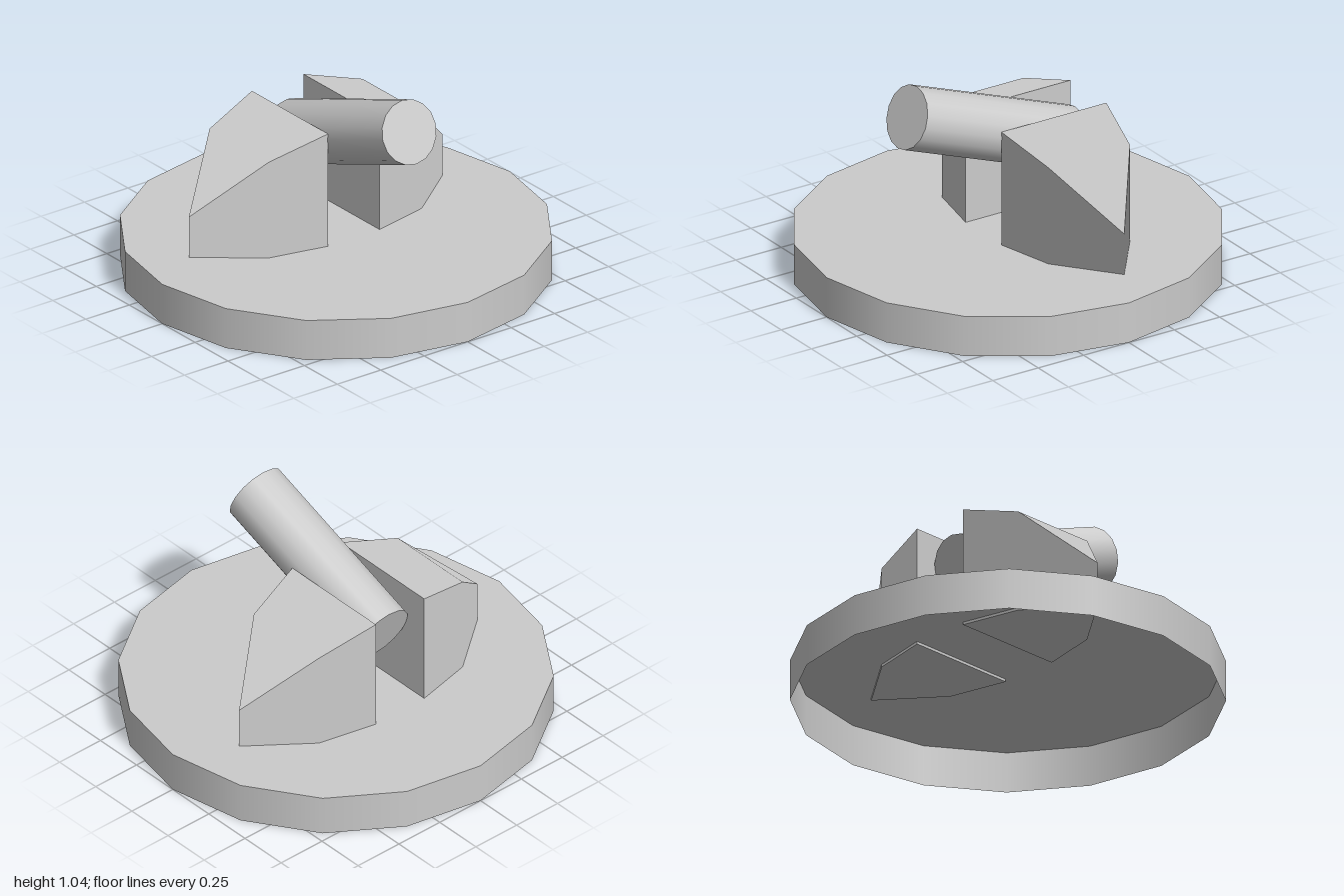
import * as THREE from 'three';

const material = new THREE.MeshStandardMaterial({ color: 0xcccccc });
const sheetMaterial = new THREE.MeshStandardMaterial({ color: 0xcccccc, side: THREE.DoubleSide });

function addMesh(group, name, geometry, meshMaterial = material) {
  const mesh = new THREE.Mesh(geometry, meshMaterial);
  mesh.name = name;
  group.add(mesh);
  return mesh;
}

// Cheek cross-sections from the barrel outwards: x, half depth, top height
const sections = [
  { x: 0.148, half: 0.289, top: 0.77 },
  { x: 0.44, half: 0.225, top: 0.686 },
  { x: 0.73, half: 0, top: 0.405 },
];

// A two-segment box tapered to the sections, keeping the box's even shading
function cheekGeometry(side) {
  const geometry = new THREE.BoxGeometry(1, 1, 1, 2, 1, 1);
  const position = geometry.attributes.position;
  for (let i = 0; i < position.count; i++) {
    const { x, half, top } = sections[Math.round(1 + 2 * side * position.getX(i))];
    const y = position.getY(i) > 0 ? top : 0.187;
    position.setXYZ(i, side * x, y, -0.154 + Math.sign(position.getZ(i)) * half);
  }
  return geometry;
}

export function createModel() {
  const model = new THREE.Group();
  model.name = 'turret';

  // Hollow base: a thin rim and a top plate, open underneath
  const rim = addMesh(model, 'baseRim', new THREE.CylinderGeometry(1, 1, 0.2, 16, 1, true), sheetMaterial);
  rim.position.y = 0.1;
  const plate = addMesh(model, 'basePlate', new THREE.CircleGeometry(1, 16), sheetMaterial);
  plate.rotation.x = -Math.PI / 2;
  plate.position.y = 0.2;

  // Pair of cheeks holding the barrel, set just through the plate
  addMesh(model, 'leftCheek', cheekGeometry(1));
  addMesh(model, 'rightCheek', cheekGeometry(-1));

  // Barrel, raised 20 degrees towards the front
  const rear = new THREE.Vector3(0, 0.572, -0.317);
  const muzzle = new THREE.Vector3(0, 0.896, 0.556);
  const axis = muzzle.clone().sub(rear);
  const barrel = addMesh(model, 'barrel', new THREE.CylinderGeometry(0.152, 0.152, axis.length(), 16));
  barrel.position.copy(rear).add(muzzle).multiplyScalar(0.5);
  barrel.quaternion.setFromUnitVectors(new THREE.Vector3(0, 1, 0), axis.normalize());

  return model;
}
